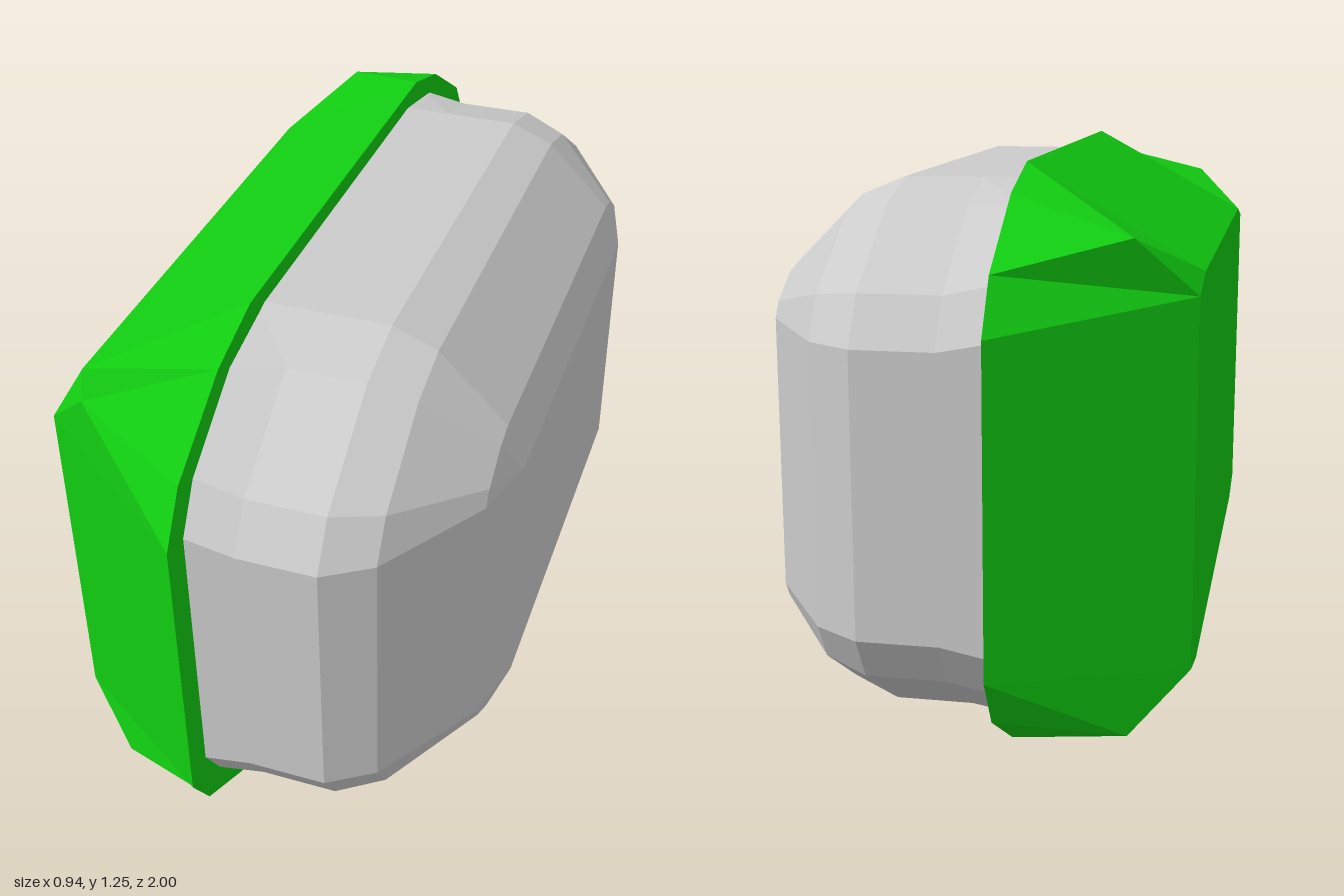
import * as THREE from 'three';

const MID_Y = 0.625;

// Mirror a quarter outline of [x, y, z] points (top to front) into a closed ring around the x axis.
function ring(quarter) {
  const flip = (pts, sy, sz) => pts.map(([x, y, z]) => new THREE.Vector3(x, MID_Y + y * sy, z * sz));
  const back = [...quarter].reverse();
  return [...flip(quarter, 1, 1), ...flip(back, -1, 1), ...flip(quarter, -1, -1), ...flip(back, 1, -1)];
}

// Skin rings listed in order of rising x and close both ends.
function loft(rings) {
  const pos = [];
  const tri = (a, b, c) => {
    const area = b.clone().sub(a).cross(c.clone().sub(a)).length();
    if (area > 1e-7) for (const p of [a, b, c]) pos.push(p.x, p.y, p.z);
  };
  const n = rings[0].length;
  const first = rings[0], last = rings[rings.length - 1];
  const centre = (r) => new THREE.Vector3(r[0].x, MID_Y, 0);
  for (let i = 0; i < n; i++) {
    const j = (i + 1) % n;
    for (let k = 0; k + 1 < rings.length; k++) {
      const p = rings[k], q = rings[k + 1];
      tri(p[i], p[j], q[j]);
      tri(p[i], q[j], q[i]);
    }
    tri(centre(first), first[j], first[i]);
    tri(centre(last), last[i], last[j]);
  }
  const geometry = new THREE.BufferGeometry();
  geometry.setAttribute('position', new THREE.Float32BufferAttribute(pos, 3));
  geometry.computeVertexNormals();
  return geometry;
}

function part(name, geometry, color) {
  const mesh = new THREE.Mesh(geometry, new THREE.MeshStandardMaterial({ color, flatShading: true }));
  mesh.name = name;
  return mesh;
}

// Faceted base: flat outer face, bevelled corners, wide octagonal rim.
function baseGeometry() {
  const a = [-0.47, 0.415, 0.6], b = [-0.47, 0.385, 0.735], corner = [-0.35, 0.505, 0.815];
  return loft([
    ring([a, a, b, b]),
    ring([a, corner, corner, b]),
    ring([[-0.095, 0.625, 0.55], [-0.095, 0.575, 0.72], [-0.095, 0.445, 0.93], [-0.095, 0.335, 1]]),
  ]);
}

// Rounded body: a box core with a three-step round on every edge.
function bodyGeometry() {
  const core = { x: 0.18, y: 0.295, z: 0.48 };
  const radius = { x: 0.29, y: 0.29, z: 0.45 };
  const round = [[0, 1], [0.34, 0.86], [0.86, 0.34], [1, 0]];
  const fuller = [[0, 1], [0.43, 0.86], [0.86, 0.43], [1, 0.08]];
  const section = (x, scale, arc) =>
    ring(arc.map(([z, y]) => [x, core.y + y * radius.y * scale, core.z + z * radius.z * scale]));
  return loft([
    section(-0.11, 1, fuller),
    section(0.01, 1, round),
    ...round.map(([x, scale]) => section(core.x + x * radius.x, scale, round)),
  ]);
}

export function createModel() {
  const model = new THREE.Group();
  model.name = 'model';
  model.add(part('base', baseGeometry(), 0x11cc11));
  model.add(part('body', bodyGeometry(), 0xcccccc));
  return model;
}
